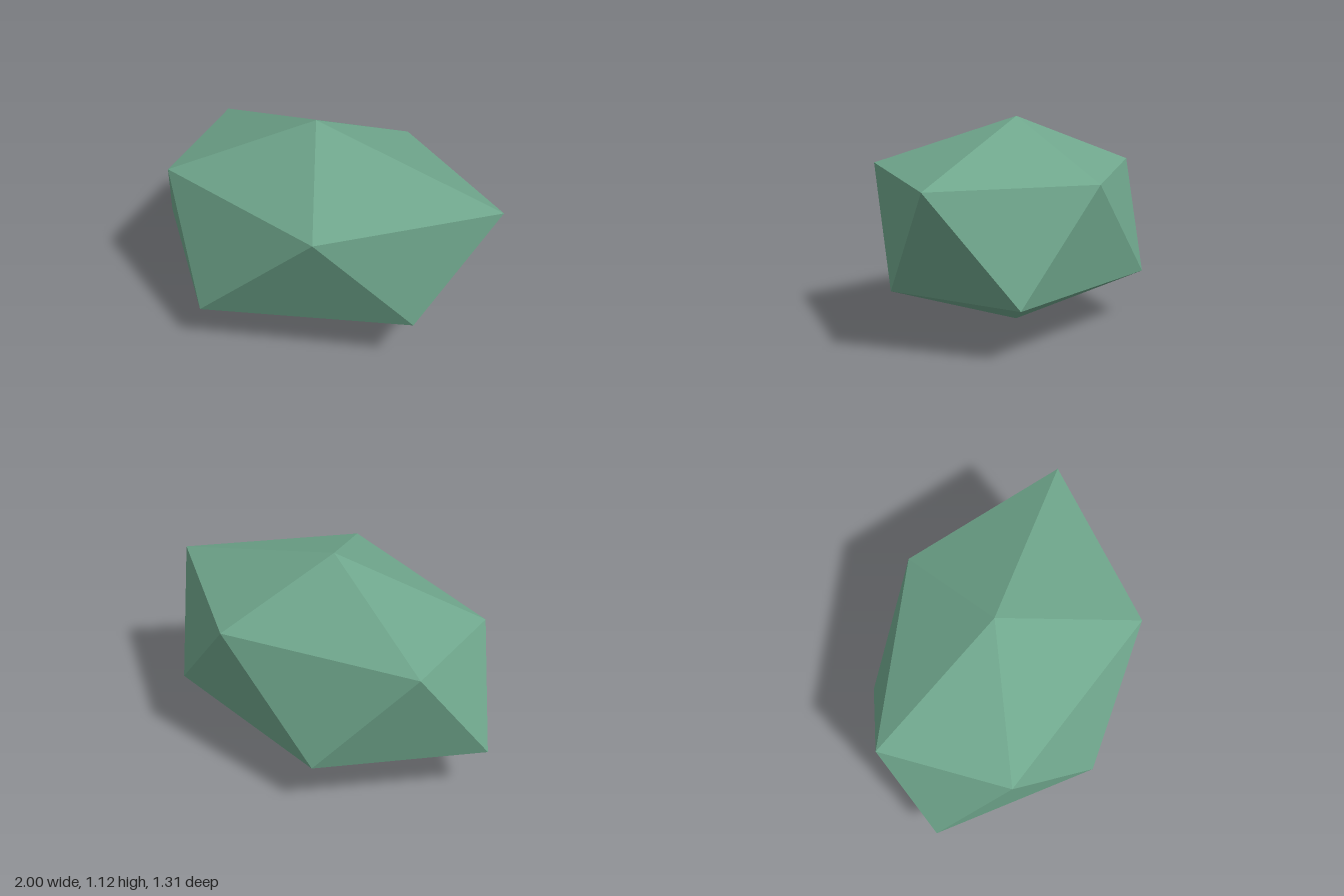
import * as THREE from 'three';

// Irregular faceted stone: two poles and two staggered five-point rings.
export function createModel() {
  const green = new THREE.MeshStandardMaterial({ color: 0x6fa68c });
  green.name = 'stoneGreen';

  const top = [-0.04, 1.12, -0.035];
  const bottom = [-0.04, 0, -0.035];
  // Rings run from +x towards +z; each lower point sits between two upper ones
  const upper = [
    [1, 0.857, -0.035], [0.29, 0.87, 0.655], [-0.755, 0.81, 0.305],
    [-0.8, 0.823, -0.4], [0.24, 0.825, -0.62],
  ];
  const lower = [
    [0.695, 0.288, 0.32], [-0.38, 0.24, 0.65], [-1, 0.277, -0.035],
    [-0.35, 0.267, -0.655], [0.73, 0.275, -0.41],
  ];

  // Cap, zigzag band and underside
  const corners = [];
  for (let i = 0; i < 5; i++) {
    const j = (i + 1) % 5;
    corners.push(
      top, upper[j], upper[i],
      upper[i], upper[j], lower[i],
      lower[i], upper[j], lower[j],
      bottom, lower[i], lower[j],
    );
  }
  const geometry = new THREE.BufferGeometry();
  geometry.setAttribute('position', new THREE.Float32BufferAttribute(corners.flat(), 3));
  geometry.computeVertexNormals(); // unshared corners give flat facets

  const stone = new THREE.Mesh(geometry, green);
  stone.name = 'stone';
  const group = new THREE.Group();
  group.name = 'facetedStone';
  group.add(stone);
  return group;
}
